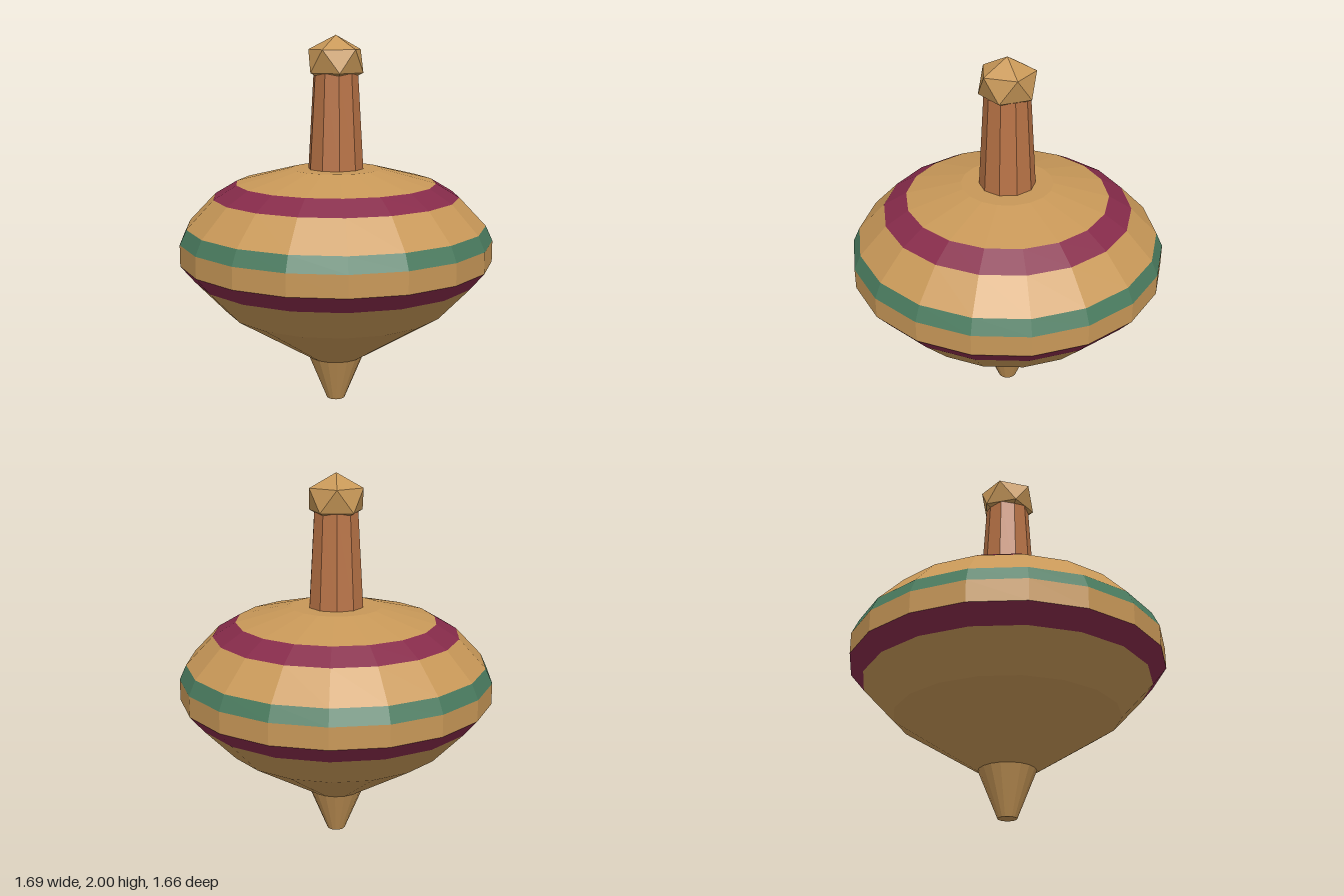
import * as THREE from 'three';

const SIDES = 18;

const wood = new THREE.MeshStandardMaterial({ color: 0xc89858 });
wood.name = 'light wood';
const handleWood = new THREE.MeshStandardMaterial({ color: 0xb87346 });
handleWood.name = 'reddish wood';
const burgundy = new THREE.MeshStandardMaterial({ color: 0x862b4a });
burgundy.name = 'burgundy paint';
const green = new THREE.MeshStandardMaterial({ color: 0x4a7b5f });
green.name = 'green paint';

// One normal per face gives the faceted look
function faceted(geometry) {
  const flat = geometry.index ? geometry.toNonIndexed() : geometry;
  flat.computeVertexNormals();
  return flat;
}

function addPart(group, name, geometry, material) {
  const mesh = new THREE.Mesh(faceted(geometry), material);
  mesh.name = name;
  group.add(mesh);
  return mesh;
}

// Turned section; the start angle puts a corner on the x axis
function turned(profile, sides = SIDES) {
  const points = profile.map(([r, y]) => new THREE.Vector2(r, y));
  return new THREE.LatheGeometry(points, sides, Math.PI / sides, Math.PI * 2);
}

export function createModel() {
  const top = new THREE.Group();
  top.name = 'spinningTop';

  // Tapered foot
  addPart(top, 'tip', turned([[0, 0], [0.05, 0], [0.152, 0.25], [0, 0.25]]), wood);

  // Body, stacked from turned bands
  const body = new THREE.Group();
  body.name = 'body';
  top.add(body);
  const bands = [
    ['lowerBody', wood, [[0, 0.247], [0.148, 0.247], [0.6, 0.53], [0.77, 0.71]]],
    ['lowerStripe', burgundy, [[0.77, 0.71], [0.845, 0.8]]],
    ['waist', wood, [[0.845, 0.8], [0.845, 0.915]]],
    ['middleStripe', green, [[0.845, 0.915], [0.808, 0.995]]],
    ['shoulder', wood, [[0.808, 0.995], [0.663, 1.147]]],
    ['upperStripe', burgundy, [[0.663, 1.147], [0.54, 1.22]]],
    ['crown', wood, [[0.54, 1.22], [0.245, 1.295], [0, 1.295]]],
  ];
  for (const [name, material, profile] of bands) addPart(body, name, turned(profile), material);

  // Ten-sided handle
  addPart(top, 'handle', turned([[0, 1.29], [0.15, 1.29], [0.12, 1.8], [0, 1.8]], 10), handleWood);

  // Squashed icosahedron with one corner pointing up
  const knob = new THREE.IcosahedronGeometry(1, 0);
  knob.rotateZ(-Math.atan(2 / (1 + Math.sqrt(5))));
  knob.scale(0.165, 0.136, 0.165);
  knob.translate(0, 1.864, 0);
  addPart(top, 'knob', knob, wood);

  return top;
}
